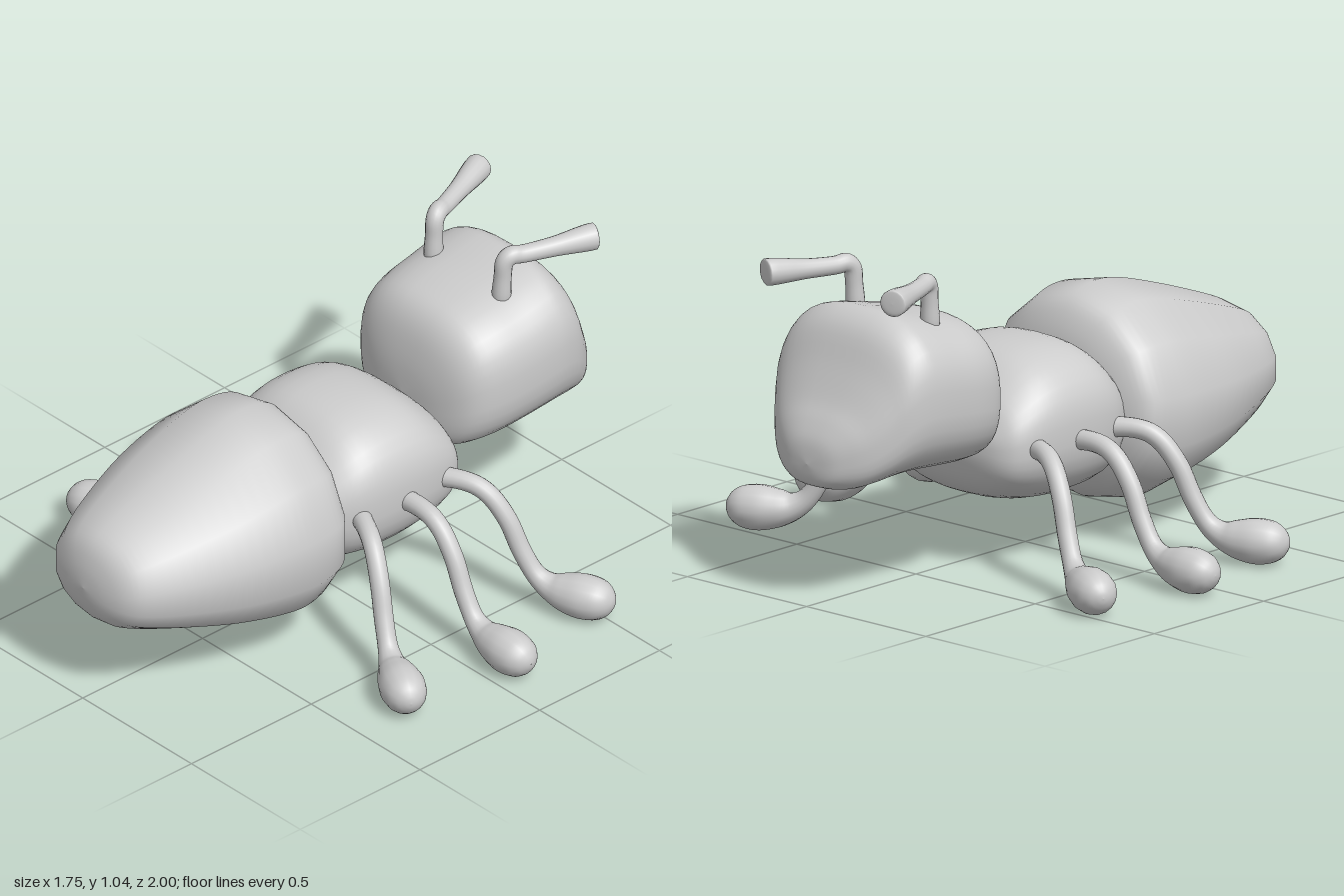
import * as THREE from 'three';

// Smoothly resample a list of number tuples, component by component
function resample(rows, steps) {
  const out = [];
  const last = rows.length - 1;
  for (let i = 0; i < last; i++) {
    const a = rows[Math.max(i - 1, 0)], b = rows[i], c = rows[i + 1], d = rows[Math.min(i + 2, last)];
    for (let s = 0; s < steps; s++) {
      const t = s / steps;
      out.push(b.map((v, k) => THREE.MathUtils.clamp(
        v + 0.5 * t * (c[k] - a[k] + t * (2 * a[k] - 5 * v + 4 * c[k] - d[k] + t * (3 * (v - c[k]) + d[k] - a[k]))),
        Math.min(v, c[k]) - 0.01, Math.max(v, c[k]) + 0.01)));
    }
  }
  out.push(rows[last]);
  return out;
}

// Skin a list of closed rings
function skin(rings) {
  const n = rings[0].length, index = [];
  for (let i = 0; i < rings.length - 1; i++) {
    for (let j = 0; j < n; j++) {
      const a = i * n + j, b = i * n + (j + 1) % n;
      index.push(a, b, a + n, b, b + n, a + n);
    }
  }
  const geo = new THREE.BufferGeometry();
  geo.setAttribute('position', new THREE.Float32BufferAttribute(rings.flat(2), 3));
  geo.setIndex(index);
  geo.computeVertexNormals();
  return geo;
}

// Body segment from stations [z, top, bottom, halfWidth]
function bodyGeometry(stations, sides, power, widest) {
  const bend = (v) => Math.sign(v) * Math.abs(v) ** (2 / power);
  return skin(resample(stations, 4).map(([z, top, bottom, w]) => {
    const yc = bottom + (top - bottom) * widest;
    return Array.from({ length: sides }, (_, j) => {
      const a = (j + 0.5) / sides * Math.PI * 2, s = bend(Math.sin(a));
      return [Math.max(w, 0.001) * bend(Math.cos(a)), yc + s * (s > 0 ? top - yc : yc - bottom), z];
    });
  }));
}

// Limb of varying thickness from points [x, y, radius] in the xy plane
function limbGeometry(points) {
  const n = 16, path = resample(points, 5);
  return skin(path.map(([x, y, r], i) => {
    const p = path[Math.max(i - 1, 0)], q = path[Math.min(i + 1, path.length - 1)];
    const len = Math.hypot(q[0] - p[0], q[1] - p[1]) || 1;
    const tx = (q[0] - p[0]) / len, ty = (q[1] - p[1]) / len;
    const rad = Math.max(r, 0.0005);
    return Array.from({ length: n }, (_, j) => {
      const a = j / n * Math.PI * 2, s = Math.sin(a) * rad;
      return [x + ty * s, y - tx * s, Math.cos(a) * rad];
    });
  }));
}

export function createModel() {
  const model = new THREE.Group();
  const grey = new THREE.MeshStandardMaterial({ color: 0xcccccc });
  grey.name = 'lightGrey';

  const add = (name, geometry) => {
    const mesh = new THREE.Mesh(geometry, grey);
    mesh.name = name;
    model.add(mesh);
    return mesh;
  };

  // Abdomen, with few sides
  add('abdomen', bodyGeometry([
    [0.135, 0.43, 0.43, 0.0], [0.14, 0.59, 0.28, 0.17], [0.17, 0.69, 0.19, 0.285],
    [0.22, 0.75, 0.12, 0.35], [0.31, 0.775, 0.083, 0.37], [0.42, 0.765, 0.095, 0.373],
    [0.60, 0.71, 0.145, 0.345], [0.78, 0.645, 0.205, 0.283], [0.90, 0.595, 0.25, 0.225],
    [0.96, 0.55, 0.285, 0.17], [0.99, 0.48, 0.34, 0.09], [1.0, 0.41, 0.41, 0.0],
  ], 14, 2.05, 0.425));

  // Thorax
  add('thorax', bodyGeometry([
    [-0.385, 0.41, 0.41, 0.0], [-0.375, 0.46, 0.35, 0.15], [-0.35, 0.51, 0.28, 0.235],
    [-0.30, 0.58, 0.23, 0.28], [-0.20, 0.655, 0.197, 0.308], [-0.08, 0.68, 0.183, 0.316],
    [0.05, 0.668, 0.187, 0.310], [0.14, 0.61, 0.21, 0.28], [0.19, 0.54, 0.27, 0.22],
    [0.21, 0.41, 0.41, 0.0],
  ], 38, 2.5, 0.5));

  // Head, with the snout sloping down towards the front
  add('head', bodyGeometry([
    [-1.0, 0.46, 0.46, 0.0], [-0.99, 0.53, 0.40, 0.085], [-0.96, 0.59, 0.38, 0.15],
    [-0.92, 0.65, 0.373, 0.205], [-0.87, 0.75, 0.378, 0.253], [-0.82, 0.86, 0.385, 0.288],
    [-0.76, 0.91, 0.39, 0.308], [-0.70, 0.908, 0.39, 0.315], [-0.60, 0.885, 0.383, 0.313],
    [-0.50, 0.865, 0.376, 0.304], [-0.42, 0.835, 0.375, 0.278], [-0.37, 0.77, 0.385, 0.225],
    [-0.34, 0.66, 0.43, 0.13], [-0.33, 0.55, 0.55, 0.0],
  ], 38, 2.6, 0.5));

  // Limb profiles, measured outward from where they attach
  const legGeo = limbGeometry([
    [-0.08, 0.40, 0], [-0.07, 0.40, 0.031], [0.07, 0.408, 0.031], [0.15, 0.38, 0.031],
    [0.215, 0.30, 0.031], [0.26, 0.20, 0.031], [0.305, 0.125, 0.032], [0.35, 0.09, 0.042],
    [0.40, 0.078, 0.060], [0.46, 0.075, 0.072], [0.515, 0.075, 0.067], [0.55, 0.075, 0.048],
    [0.568, 0.075, 0.022], [0.573, 0.075, 0],
  ]);
  const antennaGeo = limbGeometry([
    [-0.005, 0.84, 0], [-0.005, 0.85, 0.029], [0.0, 0.93, 0.028], [0.006, 0.98, 0.029],
    [0.03, 1.0, 0.030], [0.07, 0.996, 0.029], [0.17, 0.998, 0.032], [0.25, 1.002, 0.040],
    [0.295, 1.004, 0.043], [0.308, 1.004, 0.037], [0.311, 1.004, 0],
  ]);

  // Legs and antennae, mirrored by turning them about the vertical
  for (const [side, s] of [['left', 1], ['right', -1]]) {
    const place = (name, geometry, x, z, angle) => {
      const mesh = add(side + name, geometry);
      mesh.position.set(s * x, 0, z);
      mesh.rotation.y = s > 0 ? angle : Math.PI - angle;
    };
    place('FrontLeg', legGeo, 0.278, -0.25, 0.46);
    place('MiddleLeg', legGeo, 0.30, -0.08, 0);
    place('BackLeg', legGeo, 0.278, 0.092, -0.46);
    place('Antenna', antennaGeo, 0.158, -0.61, 1.21);
  }
  return model;
}
